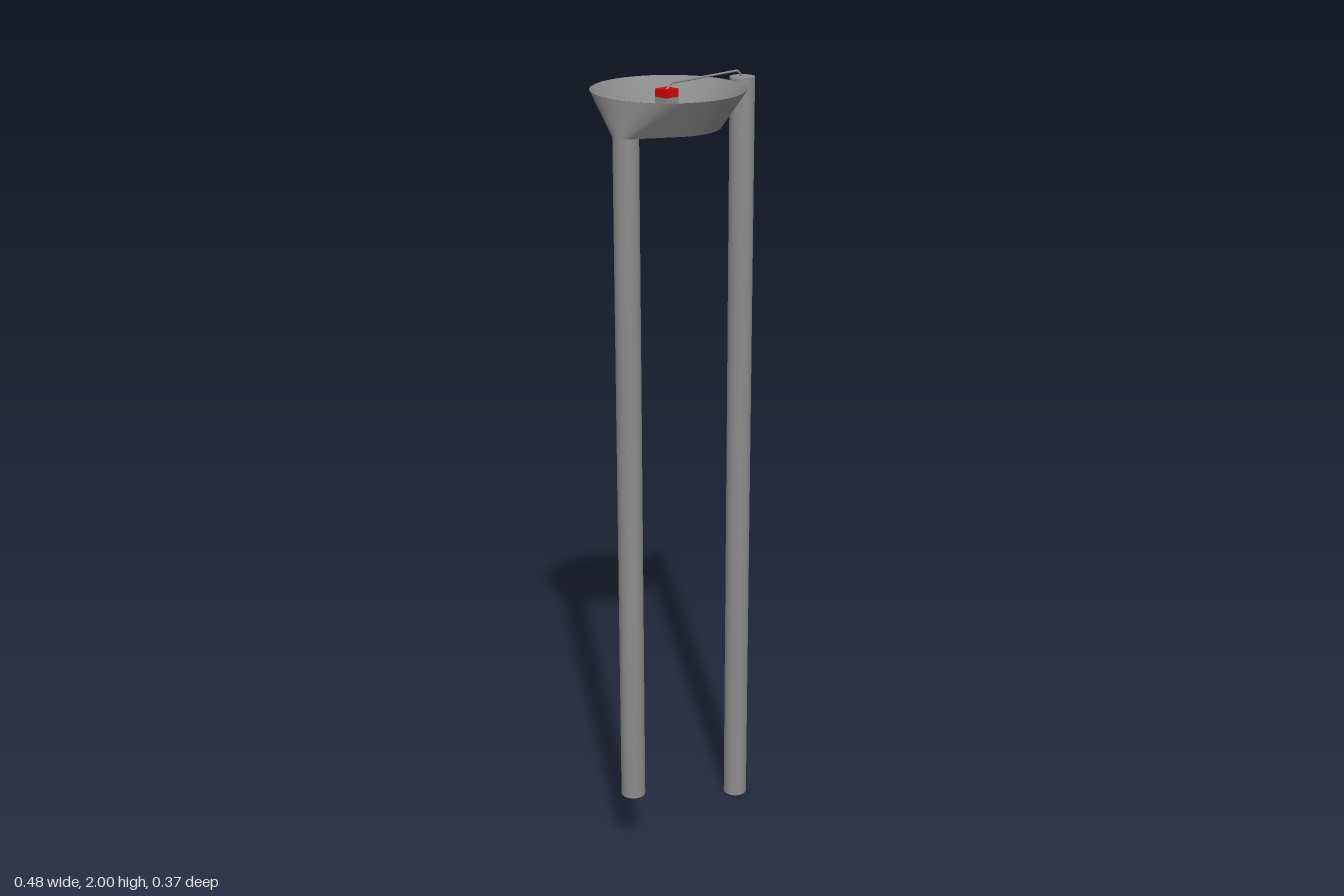
import * as THREE from 'three';

const grey = new THREE.MeshStandardMaterial({ color: 0x8c8c8c });
grey.name = 'grey metal';
const red = new THREE.MeshStandardMaterial({ color: 0xcc0606 });
red.name = 'red';

const BOWL_X = -0.0525, RIM_Y = 1.986, BASE_Y = 1.897, SIDES = 32;
const POST = { x: -0.207, z: 0.012, r: 0.031 };

function add(group, name, geometry, material) {
  const mesh = new THREE.Mesh(geometry, material);
  mesh.name = name;
  group.add(mesh);
  return mesh;
}

// Bowl outline at the base: a circle stretched round the top of the short post
function baseRing(angle) {
  const c = Math.cos(angle), s = Math.sin(angle);
  const disc = { x: BOWL_X, z: 0, r: 0.125 };
  const reach = (o) => o.x * c + o.z * s + o.r;
  const o = reach(POST) > reach(disc) ? POST : disc;
  return [o.x + o.r * c, o.z + o.r * s];
}

// Outer wall between the round rim and the stretched base
function outerWall() {
  const n = SIDES * 2, pos = [], index = [];
  for (let i = 0; i <= n; i++) {
    const a = (i / n) * Math.PI * 2;
    // Follow the straight facets of the rim
    const step = (Math.PI * 2) / SIDES;
    const local = (a % step) - step / 2;
    const r = 0.186 * Math.cos(step / 2) / Math.cos(local);
    const [bx, bz] = baseRing(a);
    pos.push(BOWL_X + r * Math.cos(a), RIM_Y, r * Math.sin(a), bx, BASE_Y, bz);
    if (i < n) {
      const k = i * 2;
      index.push(k, k + 2, k + 1, k + 1, k + 2, k + 3);
    }
  }
  const g = new THREE.BufferGeometry();
  g.setAttribute('position', new THREE.Float32BufferAttribute(pos, 3));
  g.setIndex(index);
  g.computeVertexNormals();
  return g;
}

// Flat underside
function underside() {
  const pts = [];
  for (let i = 0; i < SIDES * 2; i++) {
    const [x, z] = baseRing((i / (SIDES * 2)) * Math.PI * 2);
    pts.push(new THREE.Vector2(x, z));
  }
  return new THREE.ShapeGeometry(new THREE.Shape(pts)).rotateX(Math.PI / 2).translate(0, BASE_Y, 0);
}

export function createModel() {
  const model = new THREE.Group();
  model.name = 'raisedBowl';

  // Posts
  add(model, 'tallPost', new THREE.CylinderGeometry(0.031, 0.031, 1.982, 24), grey).position.set(0.207, 0.991, 0);
  const shortPost = new THREE.CylinderGeometry(POST.r, POST.r, BASE_Y - 0.172, 24);
  const p = shortPost.attributes.position;
  for (let i = 0; i < p.count; i++) if (p.getY(i) < 0) p.setZ(i, p.getZ(i) + 0.003);
  add(model, 'shortPost', shortPost, grey).position.set(POST.x, (BASE_Y + 0.172) / 2, POST.z);

  // Bowl
  const bowl = new THREE.Group();
  bowl.name = 'bowl';
  model.add(bowl);
  const doubleGrey = grey.clone();
  doubleGrey.side = THREE.DoubleSide;
  add(bowl, 'outerWall', outerWall(), doubleGrey);
  add(bowl, 'underside', underside(), doubleGrey);
  const inner = new THREE.CylinderGeometry(0.185, 0.135, RIM_Y - 1.911, SIDES, 1, true);
  add(bowl, 'innerWall', inner, doubleGrey).position.set(BOWL_X, (RIM_Y + 1.911) / 2, 0);
  const floor = new THREE.CircleGeometry(0.135, SIDES).rotateX(-Math.PI / 2);
  add(bowl, 'floor', floor, doubleGrey).position.set(BOWL_X, 1.911, 0);

  // Hanging block: red upper half, grey lower half
  const half = new THREE.BoxGeometry(0.039, 0.019, 0.039);
  add(model, 'blockTop', half, red).position.set(-0.0485, 1.9755, -0.0085);
  add(model, 'blockBottom', half, grey).position.set(-0.0485, 1.9565, -0.0085);

  // Wire from the block to the tall post
  const points = [[-0.054, 1.983], [-0.035, 1.997], [0.195, 1.997], [0.213, 1.98]]
    .map(([x, y]) => new THREE.Vector3(x, y, -0.005));
  const path = new THREE.CurvePath();
  for (let i = 0; i < 3; i++) path.add(new THREE.LineCurve3(points[i], points[i + 1]));
  add(model, 'wire', new THREE.TubeGeometry(path, 60, 0.0028, 8), grey);

  return model;
}
